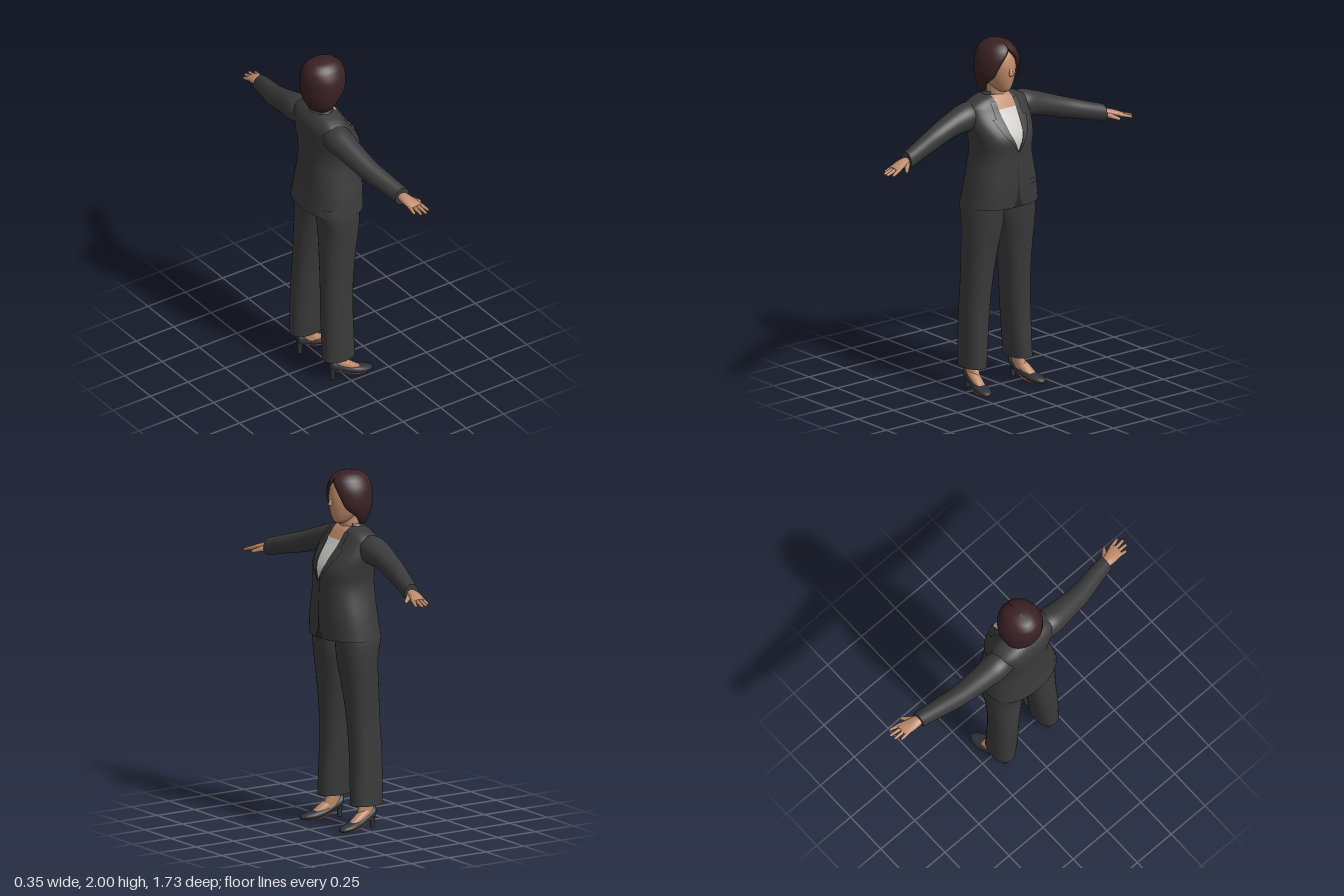
import * as THREE from 'three';

const paint = (name, color) => {
  const m = new THREE.MeshStandardMaterial({ color, side: THREE.DoubleSide });
  m.name = name;
  return m;
};
const suit = paint('charcoal suit', 0x3a3a3b);
const dark = paint('dark trim', 0x27272a);
const shoeMat = paint('shoe leather', 0x303237);
const skin = paint('skin', 0xbd8a6a);
const hairMat = paint('dark auburn hair', 0x3a2123);
const shirtMat = paint('off white shirt', 0xc9c6c2);
const soleMat = paint('brown sole', 0x8f6046);

const add = (parent, name, geometry, material) => {
  const mesh = new THREE.Mesh(geometry, material);
  mesh.name = name;
  parent.add(mesh);
  return mesh;
};

// Catmull-Rom refinement of a list of cross-sections
function refine(rows, steps = 5) {
  const out = [], at = (i) => rows[Math.max(0, Math.min(rows.length - 1, i))];
  for (let i = 0; i < rows.length - 1; i++) {
    for (let s = 0; s < steps; s++) {
      const t = s / steps;
      out.push(at(i).map((b, k) => {
        const a = at(i - 1)[k], c = at(i + 1)[k], d = at(i + 2)[k];
        return b + 0.5 * t * (c - a + t * (2 * a - 5 * b + 4 * c - d + t * (3 * (b - c) + d - a)));
      }));
    }
  }
  out.push(rows[rows.length - 1]);
  return out;
}

// Skin over sections [t, centreA, centreB, radiusA, radiusB, openHalfAngle?]
// axis y: A=x B=z, axis x: A=z B=y, axis z: A=y B=x
function loft(rows, { axis = 'y', n = 32, p = 2, open = false, cap = true } = {}) {
  const pos = [], idx = [];
  const put = (t, a, b) => pos.push(...(axis === 'y' ? [a, t, b] : axis === 'x' ? [t, b, a] : [b, a, t]));
  const pw = (v) => Math.sign(v) * Math.abs(v) ** (2 / p);
  const cols = open ? n + 3 : n;
  const ring = ([t, ca, cb, ra, rb, gap = 0]) => {
    for (let j = 0; j < cols; j++) {
      // open shells get a short inward return at each edge
      const k = open ? Math.max(0, Math.min(n, j - 1)) : j;
      const f = open && (j === 0 || j === cols - 1) ? 0.78 : 1;
      const th = gap + (2 * Math.PI - 2 * gap) * k / n;
      put(t, ca + ra * f * pw(Math.sin(th)), cb + rb * f * pw(Math.cos(th)));
    }
  };
  const dense = refine(rows);
  dense.forEach(ring);
  for (let i = 0; i < dense.length - 1; i++) {
    for (let j = 0; j < (open ? cols - 1 : cols); j++) {
      const a = i * cols + j, b = i * cols + (j + 1) % cols;
      idx.push(a, b, a + cols, b, b + cols, a + cols);
    }
  }
  if (cap && !open) {
    [dense[0], dense[dense.length - 1]].forEach((r, e) => {
      const s = pos.length / 3;
      ring(r);
      put(r[0], r[1], r[2]);
      for (let j = 0; j < n; j++) {
        const k = (j + 1) % n;
        idx.push(s + n, s + (e ? j : k), s + (e ? k : j));
      }
    });
  }
  return surface(pos, idx);
}

function surface(pos, idx) {
  const g = new THREE.BufferGeometry();
  g.setAttribute('position', new THREE.Float32BufferAttribute(pos, 3));
  g.setIndex(idx);
  g.computeVertexNormals();
  return g;
}

// Tapered rounded rod between two points
function rod(parent, name, from, to, r0, r1, material) {
  const a = new THREE.Vector3(...from), d = new THREE.Vector3(...to).sub(a), h = d.length();
  const profile = [[0, 0], [r0, 0], [r1, h - r1 * 0.8], [r1 * 0.7, h - r1 * 0.25], [0, h]];
  const m = add(parent, name, new THREE.LatheGeometry(profile.map((q) => new THREE.Vector2(...q)), 12), material);
  m.position.copy(a);
  m.quaternion.setFromUnitVectors(new THREE.Vector3(0, 1, 0), d.normalize());
}

// Jacket body sections and the depth of its front surface
const P = 2.4;
const torso = [
  [1.07, 0, 0, 0.226, 0.168], [1.2, 0, 0.01, 0.205, 0.162], [1.36, 0, 0.012, 0.172, 0.156],
  [1.45, 0, 0.012, 0.18, 0.156], [1.52, 0, -0.005, 0.195, 0.142], [1.6, 0, -0.033, 0.2, 0.112],
  [1.64, 0, -0.04, 0.19, 0.094], [1.67, 0, -0.04, 0.14, 0.075], [1.69, 0, -0.04, 0.075, 0.055],
];
const torsoDense = refine(torso);
function front(x, y) {
  let i = 0;
  while (i < torsoDense.length - 2 && torsoDense[i + 1][0] < y) i++;
  const a = torsoDense[i], b = torsoDense[i + 1];
  const t = THREE.MathUtils.clamp((y - a[0]) / (b[0] - a[0]), 0, 1);
  const [, , c, rx, rz] = a.map((v, k) => v + (b[k] - v) * t);
  return c + rz * Math.max(0, 1 - Math.abs(x / rx) ** P) ** (1 / P);
}

// Thin cloth patch lying on the torso front; rows are [y, xLeft, xRight]
function patch(rows, lift) {
  const pos = [], idx = [], cols = 9, steps = 6;
  const lines = [];
  rows.slice(0, -1).forEach((r, i) => {
    for (let s = 0; s < steps; s++) lines.push(r.map((v, k) => v + (rows[i + 1][k] - v) * s / steps));
  });
  lines.push(rows[rows.length - 1]);
  lines.forEach(([y, l, r], i) => {
    for (let j = 0; j < cols; j++) {
      const x = l + (r - l) * j / (cols - 1);
      pos.push(x, y, front(x, y) + lift);
      if (i && j) {
        const b = i * cols + j, a = b - cols;
        idx.push(a - 1, a, b - 1, a, b, b - 1);
      }
    }
  });
  return surface(pos, idx);
}

function buildArm() {
  const arm = new THREE.Group();
  add(arm, 'sleeve', loft([
    [0.11, -0.05, 1.575, 0.07, 0.07], [0.2, -0.05, 1.575, 0.08, 0.08], [0.3, -0.045, 1.555, 0.07, 0.069],
    [0.45, -0.025, 1.507, 0.06, 0.062], [0.57, 0.005, 1.474, 0.053, 0.055], [0.69, 0.035, 1.44, 0.046, 0.051],
  ], { axis: 'x' }), suit);
  add(arm, 'palm', loft([
    [0.67, 0.035, 1.44, 0.027, 0.024], [0.72, 0.04, 1.437, 0.035, 0.022],
    [0.77, 0.052, 1.426, 0.041, 0.017], [0.8, 0.058, 1.42, 0.034, 0.01],
  ], { axis: 'x', n: 20 }), skin);
  [[0.832, 0.022], [0.858, 0.05], [0.863, 0.08], [0.843, 0.108]].forEach(([x, z], i) =>
    rod(arm, 'finger', [0.772, 1.424, 0.024 + i * 0.02], [x, 1.402, z], 0.012, 0.008, skin));
  rod(arm, 'thumb', [0.7, 1.432, 0.055], [0.752, 1.408, 0.118], 0.017, 0.009, skin);
  return arm;
}

function buildLeg() {
  const leg = new THREE.Group();
  add(leg, 'trouserLeg', loft([
    [0.135, 0.16, -0.033, 0.065, 0.096], [0.4, 0.147, -0.037, 0.074, 0.094], [0.6, 0.135, -0.03, 0.081, 0.093],
    [0.8, 0.123, -0.017, 0.097, 0.1], [0.95, 0.113, -0.005, 0.112, 0.11], [1.06, 0.111, -0.01, 0.112, 0.126],
    [1.12, 0.105, -0.01, 0.105, 0.126],
  ], { p: 2.3 }), suit);
  // bare ankle and instep
  add(leg, 'ankle', loft([
    [0.05, 0.165, -0.015, 0.03, 0.055], [0.09, 0.162, -0.025, 0.03, 0.05], [0.16, 0.16, -0.04, 0.033, 0.038],
  ], { n: 20 }), skin);
  add(leg, 'instep', loft([
    [-0.03, 0.09, 0.165, 0.035, 0.03], [0.03, 0.06, 0.172, 0.03, 0.032], [0.085, 0.038, 0.18, 0.01, 0.025],
  ], { axis: 'z', n: 20 }), skin);
  // court shoe
  add(leg, 'shoe', loft([
    [-0.093, 0.095, 0.158, 0.022, 0.012], [-0.075, 0.088, 0.16, 0.034, 0.031], [-0.03, 0.066, 0.165, 0.027, 0.034],
    [0.03, 0.038, 0.173, 0.026, 0.038], [0.09, 0.025, 0.182, 0.023, 0.044], [0.14, 0.018, 0.19, 0.016, 0.032],
    [0.165, 0.014, 0.193, 0.006, 0.01],
  ], { axis: 'z', n: 24 }), shoeMat);
  add(leg, 'sole', loft([
    [-0.045, 0.046, 0.164, 0.004, 0.02], [0.03, 0.012, 0.173, 0.004, 0.03],
    [0.09, 0.004, 0.182, 0.004, 0.037], [0.15, 0.004, 0.191, 0.003, 0.02],
  ], { axis: 'z', n: 16 }), soleMat);
  add(leg, 'heel', loft([
    [0, 0.16, -0.074, 0.014, 0.014], [0.04, 0.16, -0.073, 0.015, 0.016], [0.085, 0.16, -0.066, 0.026, 0.028],
  ], { n: 16 }), shoeMat);
  return leg;
}

function buildHead() {
  const head = new THREE.Group();
  add(head, 'neck', loft([
    [1.6, 0, -0.035, 0.065, 0.06], [1.67, 0, -0.03, 0.056, 0.054], [1.78, 0, -0.03, 0.052, 0.056],
  ]), skin);
  add(head, 'face', loft([
    [1.707, 0, 0.04, 0.018, 0.018], [1.725, 0, 0.022, 0.042, 0.055], [1.77, 0, 0, 0.068, 0.092],
    [1.83, 0, -0.005, 0.083, 0.105], [1.88, 0, -0.005, 0.084, 0.1], [1.93, 0, -0.01, 0.072, 0.088],
    [1.965, 0, -0.02, 0.04, 0.05],
  ]), skin);
  rod(head, 'nose', [0, 1.862, 0.09], [0, 1.808, 0.106], 0.007, 0.013, skin);
  add(head, 'bobHair', loft([
    [1.703, 0, -0.05, 0.083, 0.058, 1.45], [1.74, 0, -0.045, 0.108, 0.086, 1.2], [1.8, 0, -0.03, 0.125, 0.118, 0.78],
    [1.85, 0, -0.025, 0.127, 0.126, 0.62], [1.9, 0, -0.025, 0.12, 0.127, 0.42], [1.94, 0, -0.025, 0.103, 0.117, 0.16],
    [1.965, 0, -0.025, 0.085, 0.1, 0], [1.988, 0, -0.025, 0.053, 0.066, 0], [2, 0, -0.025, 0, 0, 0],
  ], { n: 40, open: true }), hairMat);
  return head;
}

function buildJacket() {
  const jacket = new THREE.Group();
  add(jacket, 'jacketBody', loft(torso, { n: 56, p: P }), suit);
  add(jacket, 'collar', loft([
    [1.63, 0, -0.04, 0.105, 0.085, 0.95], [1.68, 0, -0.042, 0.085, 0.066, 0.9], [1.705, 0, -0.042, 0.072, 0.056, 0.9],
  ], { open: true }), suit);
  add(jacket, 'shirt', patch([[1.4, -0.003, 0.003], [1.5, -0.045, 0.045], [1.62, -0.064, 0.064]], 0.006), shirtMat);
  add(jacket, 'upperChest', patch([[1.62, -0.064, 0.064], [1.69, -0.06, 0.06]], 0.006), skin);
  add(jacket, 'hemOpening', patch([[1.072, -0.035, 0.035], [1.12, -0.012, 0.012], [1.22, -0.001, 0.001]], 0.005), dark);
  add(jacket, 'frontEdge', patch([[1.22, -0.0015, 0.0015], [1.4, -0.0015, 0.0015]], 0.005), dark);
  for (const s of [1, -1]) {
    const strip = (rows) => rows.map(([y, a, b]) => (s > 0 ? [y, a, b] : [y, -b, -a]));
    add(jacket, s > 0 ? 'leftLapel' : 'rightLapel', patch(strip([
      [1.39, 0, 0.006], [1.5, 0.043, 0.085], [1.575, 0.056, 0.118], [1.58, 0.057, 0.095], [1.665, 0.06, 0.095],
    ]), 0.011), suit);
    add(jacket, 'pocketFlap', patch(strip([[1.185, 0.09, 0.165], [1.215, 0.09, 0.165]]), 0.005), suit);
  }
  return jacket;
}

export function createModel() {
  const model = new THREE.Group();
  model.name = 'woman in trouser suit';
  const figure = new THREE.Group();
  figure.name = 'figure';
  const place = (part, name, x, mirror) => {
    part.name = name;
    part.position.x = x;
    if (mirror) part.scale.x = -1;
    figure.add(part);
  };
  place(buildJacket(), 'jacket', -0.01);
  place(buildHead(), 'head', -0.005);
  for (const [side, mirror] of [['left', false], ['right', true]]) {
    place(buildArm(), side + 'Arm', 0, mirror);
    place(buildLeg(), side + 'Leg', -0.012, mirror);
  }
  // the figure looks along +x with its arms spread along z
  figure.rotation.y = Math.PI / 2;
  model.add(figure);
  return model;
}
